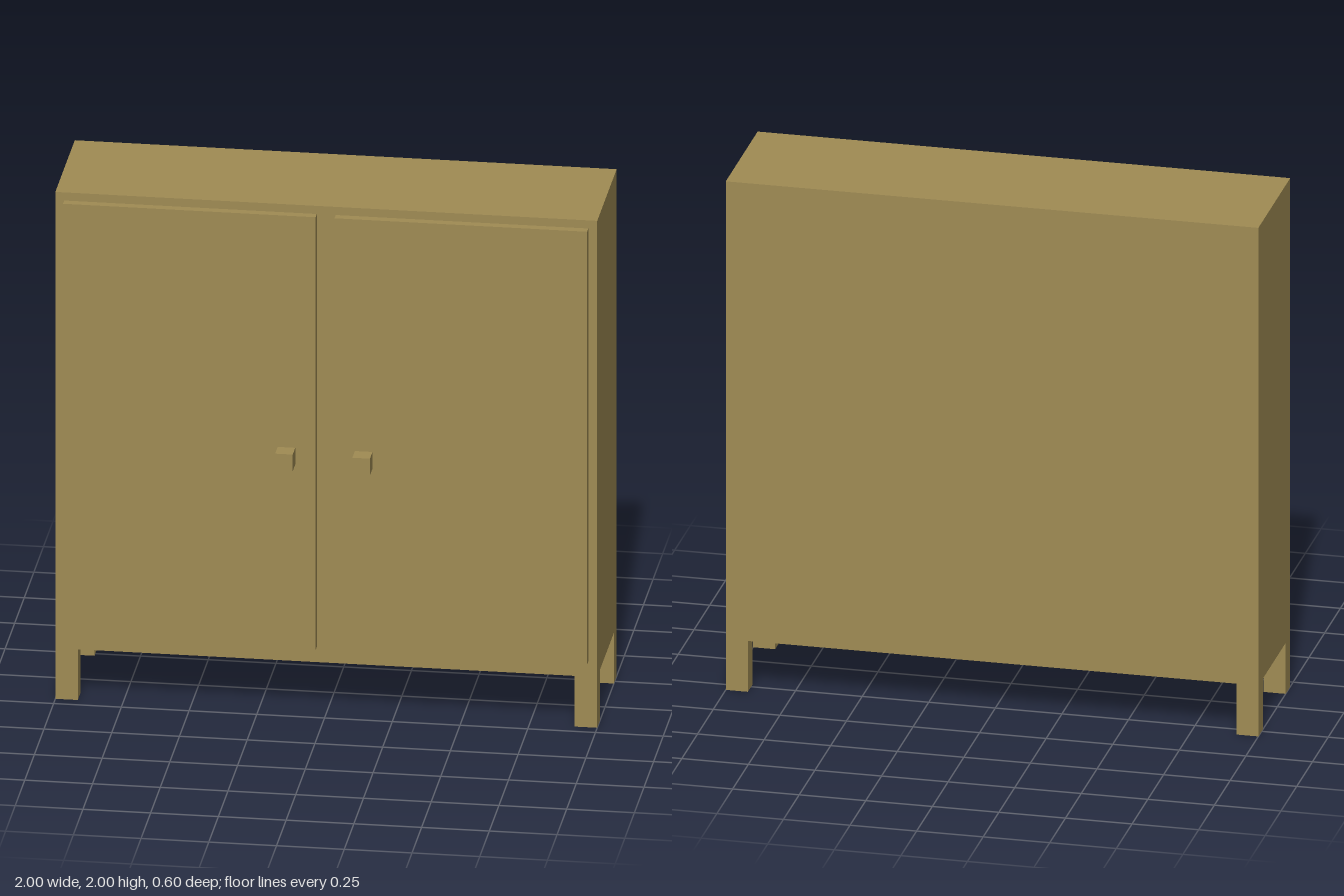
import * as THREE from 'three';

const wood = new THREE.MeshStandardMaterial({ color: 0xa08c54 });

// Box given by its extents along each axis
function block(name, [x0, x1], [y0, y1], [z0, z1]) {
  const mesh = new THREE.Mesh(new THREE.BoxGeometry(x1 - x0, y1 - y0, z1 - z0), wood);
  mesh.position.set((x0 + x1) / 2, (y0 + y1) / 2, (z0 + z1) / 2);
  mesh.name = name;
  return mesh;
}

export function createModel() {
  const cabinet = new THREE.Group();
  cabinet.name = 'cabinet';

  const back = -0.302, front = 0.204, doorFront = 0.236;
  const legWidth = 0.083, legDepth = 0.073, legHeight = 0.2;

  // Carcass
  cabinet.add(block('body', [-1, 1], [legHeight, 2], [back, front]));

  for (const [side, s] of [['left', 1], ['right', -1]]) {
    const spanX = (a, b) => (s > 0 ? [a, b] : [-b, -a]);

    // Door panel and its square knob
    cabinet.add(block(side + 'Door', spanX(0.035, 0.967), [0.26, 1.968], [front, doorFront]));
    cabinet.add(block(side + 'Knob', spanX(0.11, 0.175), [0.988, 1.054], [doorFront, 0.302]));

    // Corner legs, flush with the carcass
    const legX = spanX(1 - legWidth, 1);
    cabinet.add(block(side + 'FrontLeg', legX, [0, legHeight], [front - legDepth, front]));
    cabinet.add(block(side + 'BackLeg', legX, [0, legHeight], [back, back + legDepth]));
  }
  return cabinet;
}
